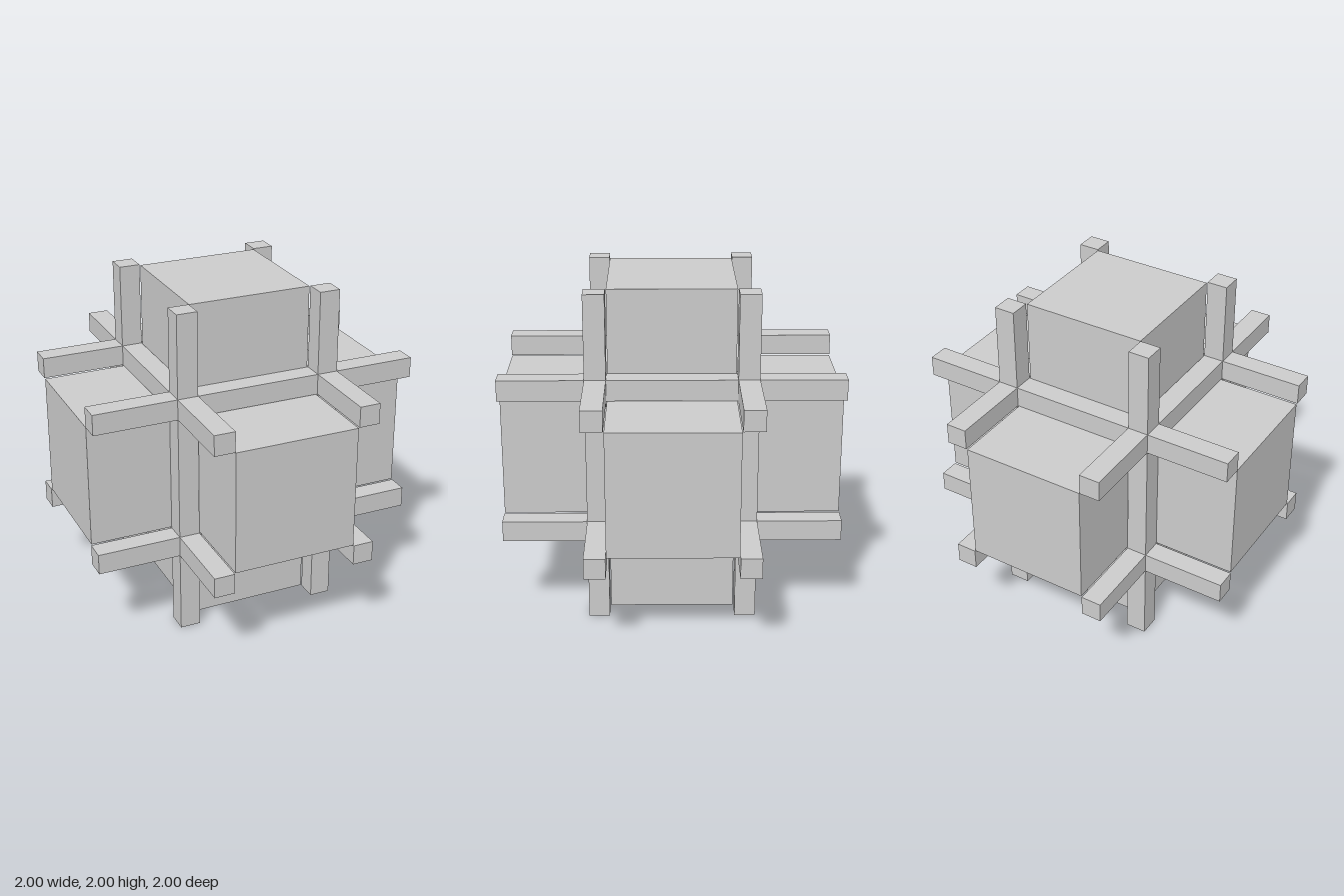
import * as THREE from 'three';

export function createModel() {
  const group = new THREE.Group();
  group.name = 'crossedBlocks';
  const material = new THREE.MeshStandardMaterial({ color: 0xcccccc, flatShading: true });

  const INNER = 0.376, OUTER = 0.5; // corner bar cross-section limits
  const CORE = 0.372; // half width of the core blocks
  const barWidth = OUTER - INNER, barOffset = (OUTER + INNER) / 2;

  // Box lying along one axis, offset (u, v) on the two other axes
  function beam(name, axis, length, width, u = 0, v = 0) {
    const size = [width, width, width];
    const pos = [0, 0, 0];
    size[axis] = length;
    pos[(axis + 1) % 3] = u;
    pos[(axis + 2) % 3] = v;
    const mesh = new THREE.Mesh(new THREE.BoxGeometry(...size), material);
    mesh.name = name;
    mesh.position.set(pos[0], pos[1] + 1, pos[2]);
    group.add(mesh);
  }

  ['x', 'y', 'z'].forEach((label, axis) => {
    // Thick core block through the centre
    beam(`${label}CoreBlock`, axis, 1.994, CORE * 2);
    // Four thin bars running past its corners
    for (const u of [-1, 1]) {
      for (const v of [-1, 1]) {
        beam(`${label}CornerBar`, axis, 2, barWidth, u * barOffset, v * barOffset);
      }
    }
  });

  return group;
}
